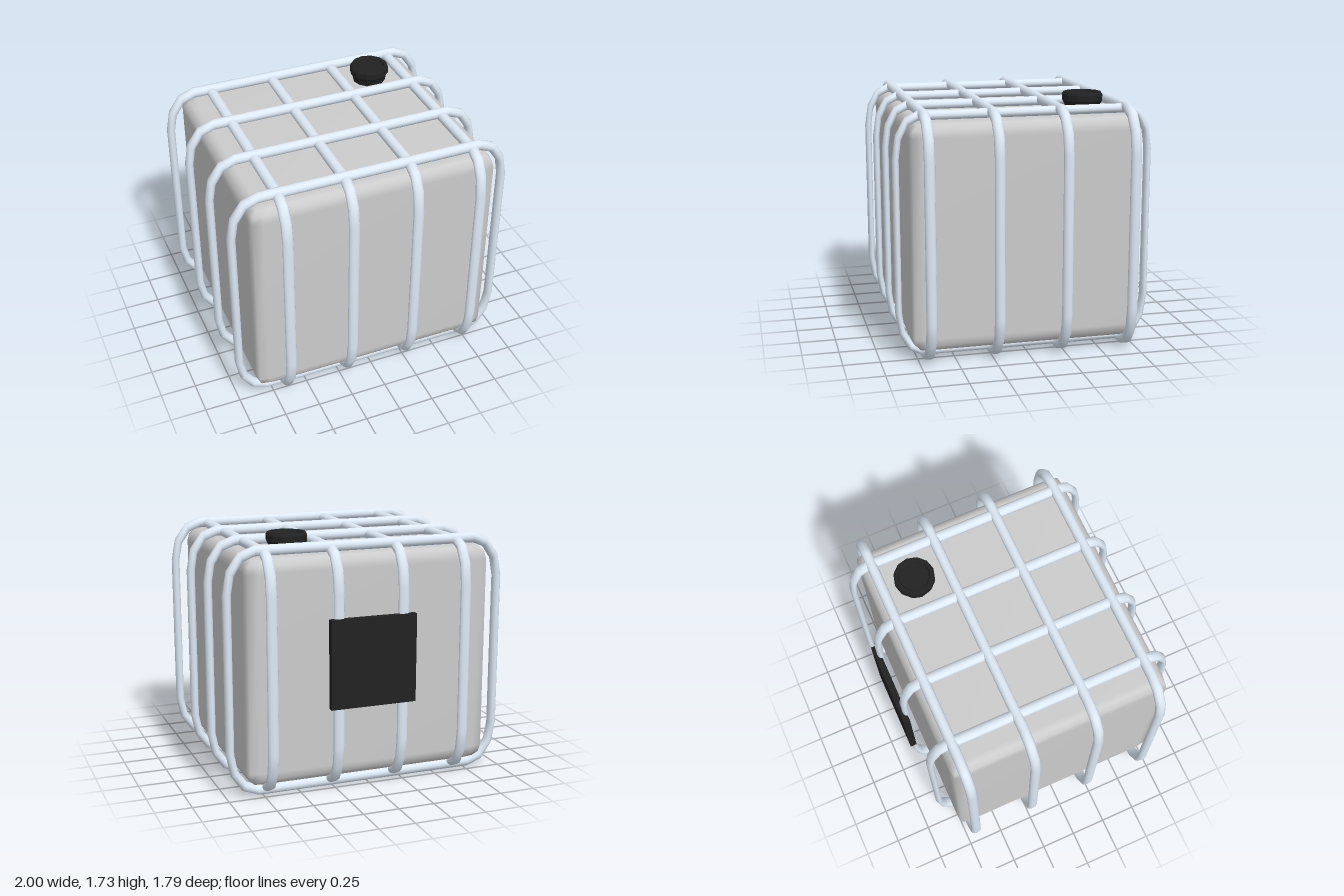
import * as THREE from 'three';
import { mergeVertices } from 'three/addons/utils/BufferGeometryUtils.js';

const material = (color, extra = {}) => new THREE.MeshStandardMaterial({ color, ...extra });

function smooth(geometry) {
  geometry.deleteAttribute('uv');
  geometry.deleteAttribute('normal');
  const merged = mergeVertices(geometry, 1e-5);
  merged.computeVertexNormals();
  return merged;
}

// Closed tube hoop in the xy plane: a torus whose columns are spread to four elliptical corners
// w, h: outer half sizes; rw, rh: outer corner radii; tw, th, depth: tube radii along x, y, z
function hoopGeometry({ w, h, rw, rh, tw, th, depth }) {
  const sides = 12, steps = 3, columns = 4 * (steps + 1);
  const geometry = new THREE.TorusGeometry(1, 0.1, sides, columns);
  const position = geometry.attributes.position;
  for (let j = 0; j <= sides; j++) {
    const phi = (j / sides) * Math.PI * 2;
    for (let i = 0; i <= columns; i++) {
      const k = i % columns;
      const corner = Math.floor(k / (steps + 1));
      const theta = (corner + (k % (steps + 1)) / steps) * Math.PI / 2;
      const sx = corner === 0 || corner === 3 ? 1 : -1;
      const sy = corner < 2 ? 1 : -1;
      position.setXYZ(
        j * (columns + 1) + i,
        sx * (w - rw) + Math.cos(theta) * (rw - tw + tw * Math.cos(phi)),
        sy * (h - rh) + Math.sin(theta) * (rh - th + th * Math.cos(phi)),
        depth * Math.sin(phi)
      );
    }
  }
  return smooth(geometry);
}

// Tank: stacked rectangular rings, drawn in towards the top and bottom
function tankGeometry(w, d, bottom, top) {
  const bevel = 0.08, rise = 0.1;
  const layers = [[bottom, w]];
  for (let i = 0; i <= 3; i++) {
    const a = (i / 3) * Math.PI / 2;
    layers.push([bottom + rise * (1 - Math.sin(a)), bevel * (1 - Math.cos(a))]);
  }
  layers.splice(1, 4, ...layers.slice(1).reverse());
  for (let i = 4; i >= 0; i--) layers.push([top + bottom - layers[i][0], layers[i][1]]);

  const vertices = [], indices = [];
  const n = 12;
  for (const [y, inset] of layers) {
    const t = inset === w ? 0 : 1;
    const x = t * (w - inset), z = t * (d - inset), c = t * bevel, e = t * 0.012;
    const quarter = [[x, z - c], [x - e, z - e], [x - c, z]];
    const ring = [
      ...quarter,
      ...quarter.map(([a, b]) => [-a, b]).reverse(),
      ...quarter.map(([a, b]) => [-a, -b]),
      ...quarter.map(([a, b]) => [a, -b]).reverse()
    ];
    for (const [a, b] of ring) vertices.push(a, y, b);
  }
  for (let l = 0; l < layers.length - 1; l++) {
    for (let i = 0; i < n; i++) {
      const a = l * n + i, b = l * n + (i + 1) % n;
      indices.push(a, a + n, b, b, a + n, b + n);
    }
  }
  const geometry = new THREE.BufferGeometry();
  geometry.setAttribute('position', new THREE.Float32BufferAttribute(vertices, 3));
  geometry.setIndex(indices);
  return smooth(geometry);
}

export function createModel() {
  const group = new THREE.Group();
  const metal = material(0xdde9f5);
  const black = material(0x222222);
  const add = (name, geometry, mat, x, y, z) => {
    const mesh = new THREE.Mesh(geometry, mat);
    mesh.name = name;
    mesh.position.set(x, y, z);
    group.add(mesh);
    return mesh;
  };

  add('tank', tankGeometry(0.865, 0.778, 0.07, 1.612), material(0xcccccc), 0, 0, 0.012);

  // Cage hoops running across the width
  const crossHoop = hoopGeometry({ w: 1, h: 0.845, rw: 0.22, rh: 0.31, tw: 0.029, th: 0.036, depth: 0.036 });
  for (const z of [-0.685, -0.227, 0.232, 0.688]) add('crossHoop', crossHoop, metal, 0, 0.845, z);

  // Cage hoops running front to back
  const longHoop = hoopGeometry({ w: 0.883, h: 0.828, rw: 0.175, rh: 0.31, tw: 0.023, th: 0.032, depth: 0.038 });
  for (const x of [-0.652, -0.195, 0.264, 0.722]) {
    add('longHoop', longHoop, metal, x, 0.848, 0.008).rotation.y = Math.PI / 2;
  }

  // Filler cap with a shallow dished top
  const capProfile = [
    [0.115, 1.6], [0.125, 1.65], [0.14, 1.675], [0.14, 1.715], [0.13, 1.73],
    [0.11, 1.73], [0.1, 1.71], [0, 1.705]
  ].map(([x, y]) => new THREE.Vector2(x, y));
  add('fillerCap', new THREE.LatheGeometry(capProfile, 12), material(0x222222, { flatShading: true }), 0.487, 0, -0.46);

  // Plate fixed to the back of the cage
  add('backPlate', new THREE.BoxGeometry(0.605, 0.605, 0.046), black, 0.03, 0.902, -0.872);

  return group;
}
